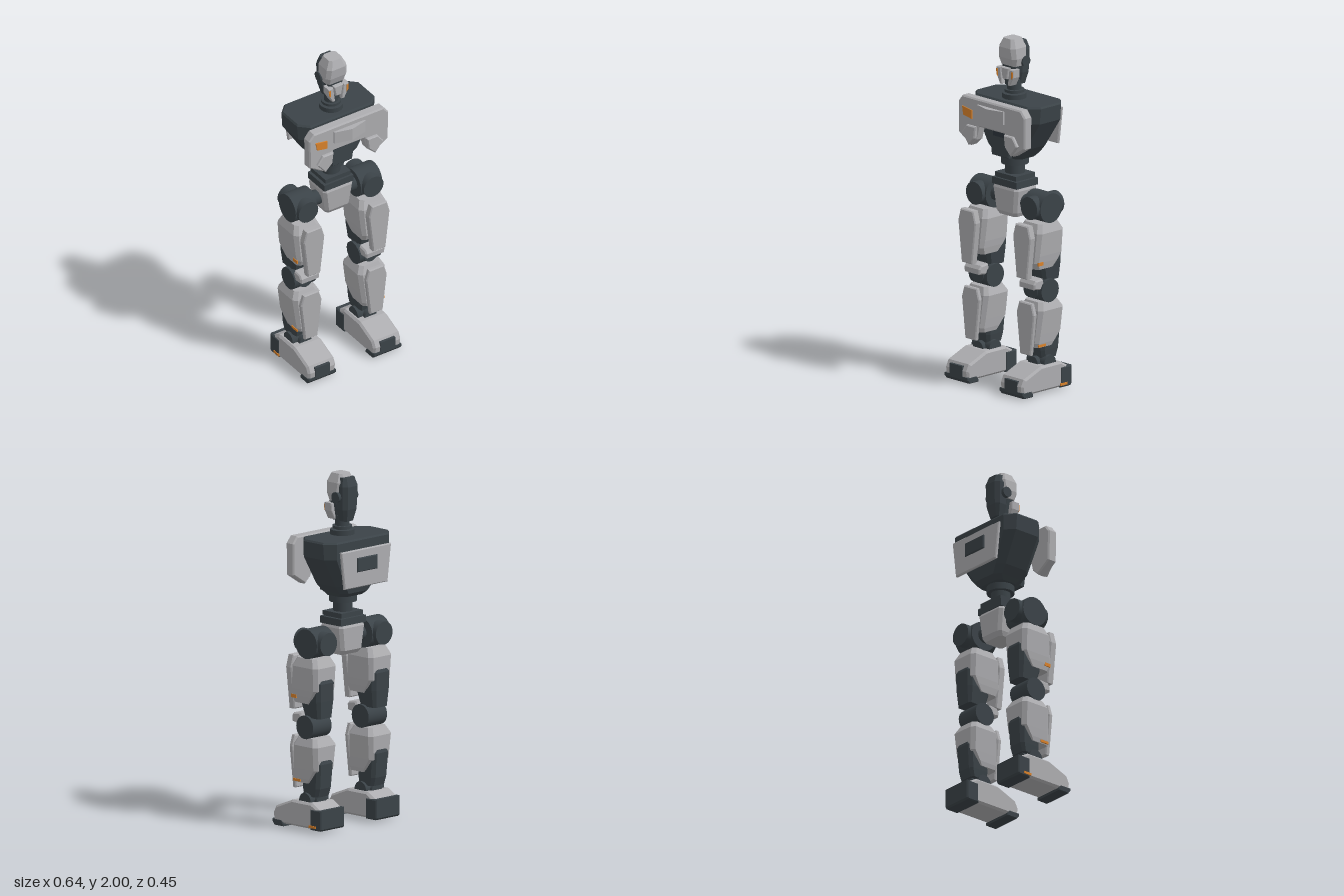
import * as THREE from 'three';

const mat = (name, color) => Object.assign(new THREE.MeshStandardMaterial({ color }), { name });

export function createModel() {
  const light = mat('light grey shell', 0xadadb0);
  const dark = mat('dark slate frame', 0x3b4348);
  const orange = mat('orange accent', 0xd9822b);
  const screen = mat('dark screen', 0x2d353c);
  const model = new THREE.Group();
  model.name = 'robot';

  const add = (parent, name, geometry, material) => {
    const mesh = new THREE.Mesh(geometry, material);
    mesh.name = name;
    parent.add(mesh);
    return mesh;
  };
  // Faceted body through chamfered sections [y, halfWidth, zBack, zFront, chamfer], bottom to top
  const loft = (sections) => {
    const rings = sections.map(([y, w, b, f, c]) => [
      [w, b + c], [w, f - c], [w - c, f], [c - w, f], [-w, f - c], [-w, b + c], [c - w, b], [w - c, b],
    ].map(([x, z]) => [x, y, z]));
    const pos = [];
    const tri = (...points) => points.forEach((p) => pos.push(...p));
    rings.forEach((low, i) => {
      const high = rings[i + 1];
      for (let j = 0; high && j < 8; j++) {
        const k = (j + 1) % 8;
        tri(low[j], high[j], low[k]);
        tri(low[k], high[j], high[k]);
      }
    });
    const last = rings[rings.length - 1];
    for (let j = 1; j < 7; j++) {
      tri(rings[0][0], rings[0][j], rings[0][j + 1]);
      tri(last[0], last[j + 1], last[j]);
    }
    const geometry = new THREE.BufferGeometry();
    geometry.setAttribute('position', new THREE.Float32BufferAttribute(pos, 3));
    geometry.computeVertexNormals();
    return geometry;
  };
  // Outline in x, y extruded from z0 to z1
  const plate = (points, z0, z1, bevel = 0.006) => {
    const shape = new THREE.Shape(points.map(([x, y]) => new THREE.Vector2(x, y)));
    return new THREE.ExtrudeGeometry(shape, {
      depth: z1 - z0 - 2 * bevel, bevelEnabled: bevel > 0, bevelSize: bevel,
      bevelThickness: bevel, bevelOffset: -bevel, bevelSegments: 1,
    }).translate(0, 0, z0 + bevel);
  };
  // Side outline in z, y extruded across x
  const profile = (points, half, bevel = 0.01) => plate(points, -half, half, bevel).rotateY(-Math.PI / 2);
  const mirrored = (points) => [...points, ...points.map(([x, y]) => [-x, y]).reverse()];
  const box = (x0, x1, y0, y1, z0, z1) => new THREE.BoxGeometry(x1 - x0, y1 - y0, z1 - z0)
    .translate((x0 + x1) / 2, (y0 + y1) / 2, (z0 + z1) / 2);
  const post = (r, y0, y1, z) => new THREE.CylinderGeometry(r, r, y1 - y0, 28).translate(0, (y0 + y1) / 2, z);
  const axleX = (r, x0, x1, y, z) => new THREE.CylinderGeometry(r, r, x1 - x0, 28)
    .rotateZ(Math.PI / 2).translate((x0 + x1) / 2, y, z);
  const axleZ = (r, z0, z1, y) => new THREE.CylinderGeometry(r, r, z1 - z0, 28)
    .rotateX(Math.PI / 2).translate(0, y, (z0 + z1) / 2);

  // Head
  const head = new THREE.Group();
  head.name = 'head';
  model.add(head);
  add(head, 'cranium', loft([
    [1.845, 0.06, -0.045, 0.035, 0.015], [1.89, 0.071, -0.06, 0.05, 0.02],
    [1.95, 0.066, -0.07, 0.055, 0.022], [2.0, 0.042, -0.05, 0.035, 0.015],
  ]), light);
  add(head, 'headBack', loft([
    [1.73, 0.036, -0.08, -0.02, 0.012], [1.8, 0.055, -0.098, -0.01, 0.02],
    [1.93, 0.06, -0.103, -0.01, 0.022], [1.98, 0.045, -0.085, -0.03, 0.015],
  ]), dark);
  add(head, 'faceCore', loft([
    [1.73, 0.03, -0.03, 0.03, 0.008], [1.85, 0.052, -0.03, 0.035, 0.012],
  ]), dark);
  add(head, 'facePanel', plate(mirrored([[0.018, 1.77], [0.03, 1.835]]), 0.03, 0.058, 0.004), light);
  for (const s of [-1, 1]) {
    add(head, 'cheek', plate([[0.035, 1.83], [0.068, 1.83], [0.066, 1.785], [0.04, 1.735], [0.022, 1.735]]
      .map(([x, y]) => [s * x, y]), 0.0, 0.056, 0.004), light);
    add(head, 'cheekAccent', plate([[0.054, 1.82], [0.066, 1.82], [0.064, 1.787], [0.053, 1.775]]
      .map(([x, y]) => [s * x, y]), 0.053, 0.058, 0), orange);
    add(head, 'earDisc', axleX(0.03, s * 0.065 - 0.012, s * 0.065 + 0.012, 1.87, -0.04), dark);
  }
  add(head, 'neck', post(0.04, 1.63, 1.76, -0.02), dark);
  add(head, 'neckRing', post(0.056, 1.685, 1.7, -0.02), dark);
  add(head, 'neckCollar', post(0.068, 1.645, 1.678, -0.02), dark);

  // Torso
  const torso = new THREE.Group();
  torso.name = 'torso';
  model.add(torso);
  add(torso, 'torsoBody', loft([
    [1.31, 0.09, -0.115, 0.035, 0.03], [1.335, 0.11, -0.145, 0.06, 0.035], [1.38, 0.148, -0.155, 0.078, 0.04],
    [1.55, 0.255, -0.18, 0.08, 0.05], [1.64, 0.262, -0.184, 0.082, 0.055], [1.65, 0.254, -0.176, 0.074, 0.052],
  ]), dark);
  add(torso, 'abdomenPlate', plate(mirrored([[0.068, 1.325], [0.092, 1.49]]), 0.06, 0.094), dark);
  add(torso, 'abdomenScreen', box(-0.05, 0.05, 1.44, 1.475, 0.09, 0.097), screen);
  add(torso, 'chestPlate', plate(mirrored([
    [0.102, 1.49], [0.125, 1.41], [0.17, 1.37], [0.265, 1.43], [0.268, 1.61], [0.235, 1.65],
  ]), 0.1, 0.16, 0.008), light);
  // Pointed chest panel
  const wedge = new THREE.Shape([[-0.105, 0.155], [0.105, 0.155], [0.105, 0.17], [0, 0.196], [-0.105, 0.17]]
    .map(([x, z]) => new THREE.Vector2(x, -z)));
  add(torso, 'chestPanel', new THREE.ExtrudeGeometry(wedge, { depth: 0.075, bevelEnabled: false })
    .rotateX(-Math.PI / 2).translate(0, 1.545, 0), light);
  for (const s of [-1, 1]) {
    add(torso, 'lowerChestPad', plate([[0.113, 1.49], [0.185, 1.49], [0.222, 1.44], [0.168, 1.375], [0.122, 1.42]]
      .map(([x, y]) => [s * x, y]), 0.15, 0.178), light);
  }
  add(torso, 'chestAccent', plate([[-0.228, 1.59], [-0.15, 1.578], [-0.15, 1.528], [-0.218, 1.54]], 0.16, 0.167, 0), orange);
  add(torso, 'backPanel', plate(mirrored([[0.17, 1.38], [0.198, 1.595]]), -0.212, -0.191, 0.005), light);
  add(torso, 'backPort', plate(mirrored([[0.08, 1.47], [0.08, 1.55]]), -0.224, -0.21, 0.004), dark);

  // Waist and pelvis
  const pelvis = new THREE.Group();
  pelvis.name = 'pelvis';
  model.add(pelvis);
  add(pelvis, 'waistFlange', post(0.078, 1.27, 1.32, -0.025), dark);
  add(pelvis, 'waistPost', post(0.055, 1.19, 1.28, -0.025), dark);
  add(pelvis, 'waistPlate', box(-0.085, 0.085, 1.19, 1.215, -0.1, 0.05), dark);
  add(pelvis, 'pelvisBlock', box(-0.098, 0.098, 1.145, 1.185, -0.108, 0.058), dark);
  add(pelvis, 'pelvisCore', box(-0.08, 0.08, 1.14, 1.2, -0.09, 0.045), dark);
  add(pelvis, 'pelvisShell', loft([
    [0.975, 0.07, -0.085, 0.04, 0.015], [1.0, 0.082, -0.105, 0.055, 0.018],
    [1.13, 0.1, -0.11, 0.062, 0.018], [1.15, 0.092, -0.1, 0.054, 0.015],
  ]), light);
  add(pelvis, 'hipAxle', axleX(0.043, -0.17, 0.17, 1.065, -0.02), dark);

  // Legs
  for (const s of [-1, 1]) {
    const leg = new THREE.Group();
    leg.name = s > 0 ? 'leftLeg' : 'rightLeg';
    leg.position.x = s * 0.22;
    model.add(leg);
    add(leg, 'hipDrum', axleX(0.085, -0.072, 0.072, 1.062, -0.025), dark);
    add(leg, 'hipRollDrum', axleZ(0.066, -0.132, 0.08, 1.065), dark);

    // Thigh
    add(leg, 'thighCore', loft([
      [0.64, 0.055, -0.112, 0.01, 0.015], [0.74, 0.068, -0.12, 0.04, 0.02],
      [0.84, 0.07, -0.122, 0.04, 0.02], [0.89, 0.035, -0.1, 0.04, 0.015],
    ]), dark);
    add(leg, 'thighShell', loft([
      [0.72, 0.07, -0.05, 0.08, 0.015], [0.76, 0.078, -0.085, 0.098, 0.018], [0.8, 0.083, -0.112, 0.095, 0.02],
      [0.93, 0.091, -0.117, 0.085, 0.022], [0.98, 0.07, -0.09, 0.06, 0.02],
    ]), light);
    add(leg, 'thighPlate', plate(mirrored([[0.042, 0.67], [0.07, 0.91], [0.05, 0.98]]), 0.095, 0.14), light);
    add(leg, 'thighAccent', box(s * 0.077 - 0.004, s * 0.077 + 0.004, 0.745, 0.765, 0.045, 0.085), orange);

    // Knee
    add(leg, 'kneeDrum', axleX(0.067, -0.073, 0.073, 0.585, -0.015), dark);
    add(leg, 'kneeRollDrum', axleZ(0.045, -0.06, 0.055, 0.585), dark);
    add(leg, 'kneeCap', profile([[0.03, 0.66], [0.085, 0.655], [0.1, 0.635], [0.098, 0.605], [0.04, 0.597], [0.02, 0.63]],
      0.064, 0.008), light);

    // Shin
    add(leg, 'shinCore', loft([
      [0.19, 0.055, -0.09, 0.02, 0.015], [0.24, 0.06, -0.106, 0.03, 0.018],
      [0.38, 0.066, -0.118, 0.03, 0.02], [0.43, 0.035, -0.1, 0.03, 0.015],
    ]), dark);
    add(leg, 'shinShell', loft([
      [0.265, 0.066, -0.045, 0.08, 0.015], [0.29, 0.072, -0.065, 0.088, 0.018], [0.345, 0.078, -0.108, 0.085, 0.02],
      [0.48, 0.091, -0.116, 0.075, 0.022], [0.525, 0.068, -0.09, 0.055, 0.02],
    ]), light);
    add(leg, 'shinPlate', plate(mirrored([[0.042, 0.222], [0.07, 0.46], [0.05, 0.525]]), 0.083, 0.112), light);
    add(leg, 'shinAccent', box(s * 0.071 - 0.004, s * 0.071 + 0.004, 0.27, 0.284, 0.02, 0.075), orange);

    // Ankle
    add(leg, 'ankleDrum', axleX(0.045, -0.072, 0.072, 0.165, -0.015), dark);
    add(leg, 'ankleRollDrum', axleZ(0.04, -0.075, 0.05, 0.16), dark);

    // Foot
    add(leg, 'footShell', profile([
      [0.215, 0.015], [0.22, 0.07], [0.2, 0.11], [0.07, 0.162], [-0.085, 0.162], [-0.15, 0.125], [-0.15, 0.015],
    ], 0.092, 0.012), light);
    add(leg, 'heel', profile([[-0.078, 0.012], [-0.078, 0.13], [-0.163, 0.13], [-0.163, 0.022], [-0.155, 0.012]],
      0.096, 0.006), dark);
    add(leg, 'toeSole', profile([[0.135, 0.0], [0.205, 0.0], [0.222, 0.02], [0.222, 0.036], [0.15, 0.036], [0.135, 0.015]],
      0.094, 0.004), dark);
    add(leg, 'toePanel', box(-0.05, 0.05, 0.032, 0.097, 0.2, 0.223), dark);
    add(leg, 'heelAccent', box(s * 0.096 - 0.003, s * 0.096 + 0.003, 0.024, 0.038, -0.125, -0.072), orange);
  }
  return model;
}
